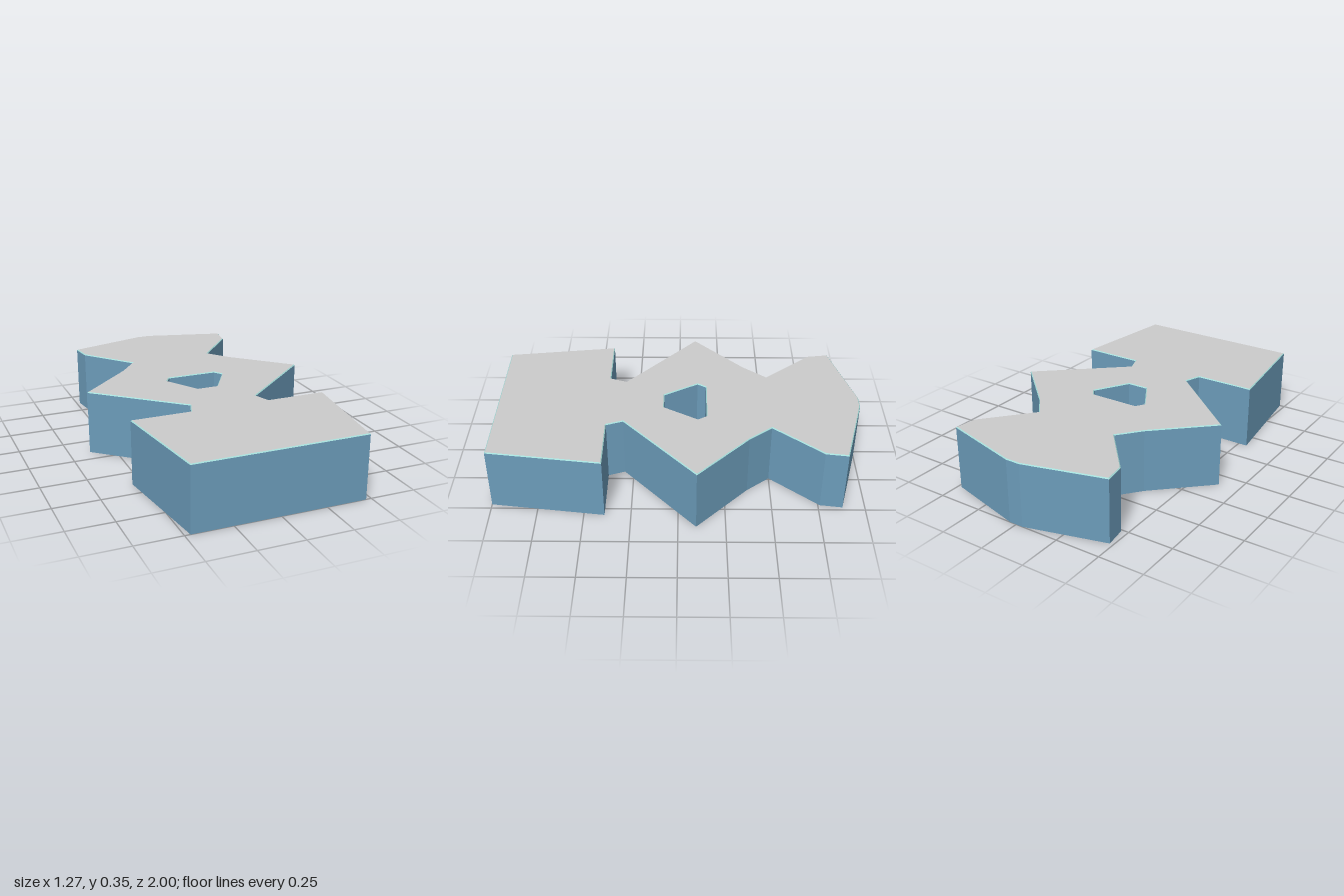
import * as THREE from 'three';

const HEIGHT = 0.355;   // full height
const RIM = 0.005;      // small bevel where the walls meet the top

// Right-hand half of the plan as [x, z], from back to front
const HALF = [
  [0.04, -1], [0.48, -0.88], [0.463, -0.76], [0.243, -0.5], [0.343, -0.375],
  [0.636, -0.095], [0.19, 0.3], [0.222, 0.39], [0.549, 0.39], [0.47, 1],
];
// Opening in the middle, walked the other way round
const HALF_HOLE = [[-0.138, -0.152], [-0.168, -0.105], [-0.058, 0.081]];

const mirrored = (half) => [...half, ...half.slice().reverse().map(([x, z]) => [-x, z])]
  .map(([x, z]) => new THREE.Vector2(x, z));

// Move a loop into the solid by d, keeping its corners sharp
function inset(loop, d) {
  const n = loop.length;
  const outward = (a, b) => {
    const e = b.clone().sub(a).normalize();
    return new THREE.Vector2(e.y, -e.x);
  };
  return loop.map((p, i) => {
    const n1 = outward(loop[(i + n - 1) % n], p);
    const n2 = outward(p, loop[(i + 1) % n]);
    const miter = n1.clone().add(n2).divideScalar(1 + n1.dot(n2));
    return p.clone().addScaledVector(miter, -d);
  });
}

// Flat-faced band joining a lower loop to an upper loop
function band(lower, y0, upper, y1) {
  const pos = [];
  lower.forEach((a, i) => {
    const j = (i + 1) % lower.length;
    const b = lower[j], c = upper[j], d = upper[i];
    pos.push(a.x, y0, a.y, d.x, y1, d.y, c.x, y1, c.y);
    pos.push(a.x, y0, a.y, c.x, y1, c.y, b.x, y0, b.y);
  });
  const geo = new THREE.BufferGeometry();
  geo.setAttribute('position', new THREE.Float32BufferAttribute(pos, 3));
  geo.computeVertexNormals();
  return geo;
}

export function createModel() {
  const group = new THREE.Group();
  const material = (color) => new THREE.MeshStandardMaterial({ color, side: THREE.DoubleSide });
  const wallMat = material(0x6c9cba);
  const rimMat = material(0xa4dcd8);
  const topMat = material(0xcccccc);

  const add = (name, geo, mat) => {
    const mesh = new THREE.Mesh(geo, mat);
    mesh.name = name;
    group.add(mesh);
  };

  // Thin walls, open at the bottom, with a narrow bevelled rim
  const loops = { outer: mirrored(HALF), opening: mirrored(HALF_HOLE) };
  const topLoops = {};
  for (const [name, loop] of Object.entries(loops)) {
    topLoops[name] = inset(loop, RIM);
    add(`${name}Wall`, band(loop, 0, loop, HEIGHT - RIM), wallMat);
    add(`${name}Rim`, band(loop, HEIGHT - RIM, topLoops[name], HEIGHT), rimMat);
  }

  // Top plate with the opening cut through
  const toPlan = (loop) => loop.map((p) => new THREE.Vector2(p.x, -p.y));
  const shape = new THREE.Shape(toPlan(topLoops.outer));
  shape.holes.push(new THREE.Path(toPlan(topLoops.opening)));
  const plate = new THREE.ShapeGeometry(shape).rotateX(-Math.PI / 2).translate(0, HEIGHT, 0);
  add('topPlate', plate, topMat);

  return group;
}
